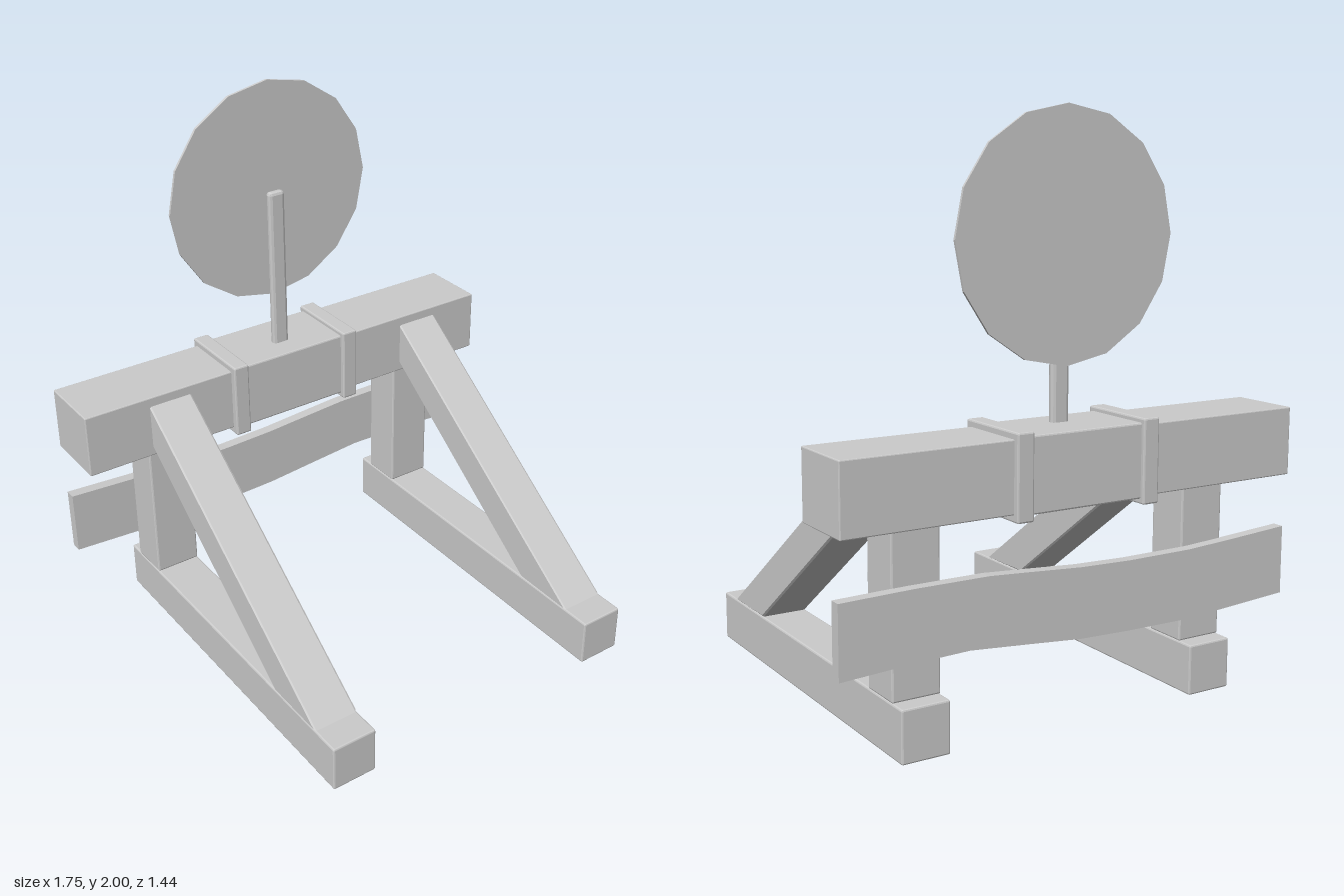
import * as THREE from 'three';
import { RoundedBoxGeometry } from 'three/addons/geometries/RoundedBoxGeometry.js';

const material = new THREE.MeshStandardMaterial({ color: 0xcccccc, flatShading: true });

function add(parent, name, geometry) {
  const mesh = new THREE.Mesh(geometry, material);
  mesh.name = name;
  parent.add(mesh);
  return mesh;
}

// Box with small chamfers, given by its [min, max] ranges
function block(parent, name, [x0, x1], [y0, y1], [z0, z1], bevel = 0.006) {
  const geometry = new RoundedBoxGeometry(x1 - x0, y1 - y0, z1 - z0, 1, bevel);
  geometry.translate((x0 + x1) / 2, (y0 + y1) / 2, (z0 + z1) / 2);
  return add(parent, name, geometry);
}

function extrude(points, depth, bevel = 0) {
  const shape = new THREE.Shape(points.map(([x, y]) => new THREE.Vector2(x, y)));
  return new THREE.ExtrudeGeometry(shape, {
    depth: depth - 2 * bevel, bevelEnabled: bevel > 0, bevelSegments: 1,
    bevelSize: bevel, bevelThickness: bevel, bevelOffset: -bevel,
  }).translate(0, 0, bevel);
}

export function createModel() {
  const model = new THREE.Group();
  model.name = 'bufferStop';

  // Side frames: foot, upright and sloping strut
  for (const [side, x] of [['left', 0.59], ['right', -0.535]]) {
    const frame = new THREE.Group();
    frame.name = side + 'Frame';
    model.add(frame);
    const span = [x - 0.086, x + 0.086];
    block(frame, 'foot', span, [0, 0.178], [-0.70, 0.72]);
    block(frame, 'upright', span, [0.178, 0.76], [-0.64, -0.48]);
    // Profile in (z, y), turned so the extrusion runs along x
    const strut = extrude([[0.61, 0.178], [-0.445, 0.938], [-0.445, 0.768], [0.36, 0.178]], 0.172, 0.006);
    strut.rotateY(-Math.PI / 2);
    strut.translate(x + 0.086, 0, 0);
    add(frame, 'strut', strut);
  }

  // Cross beam with its padded middle and two straps
  block(model, 'beam', [-0.875, 0.875], [0.732, 0.972], [-0.70, -0.442], 0.004);
  block(model, 'beamPad', [-0.24, 0.24], [0.725, 0.979], [-0.706, -0.435]);
  for (const x of [-0.247, 0.243]) {
    block(model, 'strap', [x - 0.031, x + 0.031], [0.707, 0.995], [-0.722, -0.416]);
  }

  // Warped board across the back
  const board = extrude([
    [-0.875, 0.296], [-0.45, 0.27], [-0.2, 0.272], [0, 0.278], [0.2, 0.296], [0.42, 0.315],
    [0.62, 0.31], [0.875, 0.297], [0.875, 0.54], [0.62, 0.545], [0.35, 0.544],
    [0.2, 0.534], [0, 0.52], [-0.2, 0.514], [-0.45, 0.515], [-0.62, 0.524], [-0.875, 0.54],
  ], 0.042);
  board.translate(0, 0, -0.68);
  add(model, 'backBoard', board);

  // Signal post and thin sixteen-sided disc
  block(model, 'signalPost', [-0.033, 0.033], [0.95, 1.593], [-0.558, -0.526], 0.012);
  const disc = add(model, 'signalDisc', new THREE.CylinderGeometry(0.417, 0.417, 0.01, 16));
  disc.rotation.x = Math.PI / 2;
  disc.position.set(0, 1.583, -0.58);

  return model;
}
